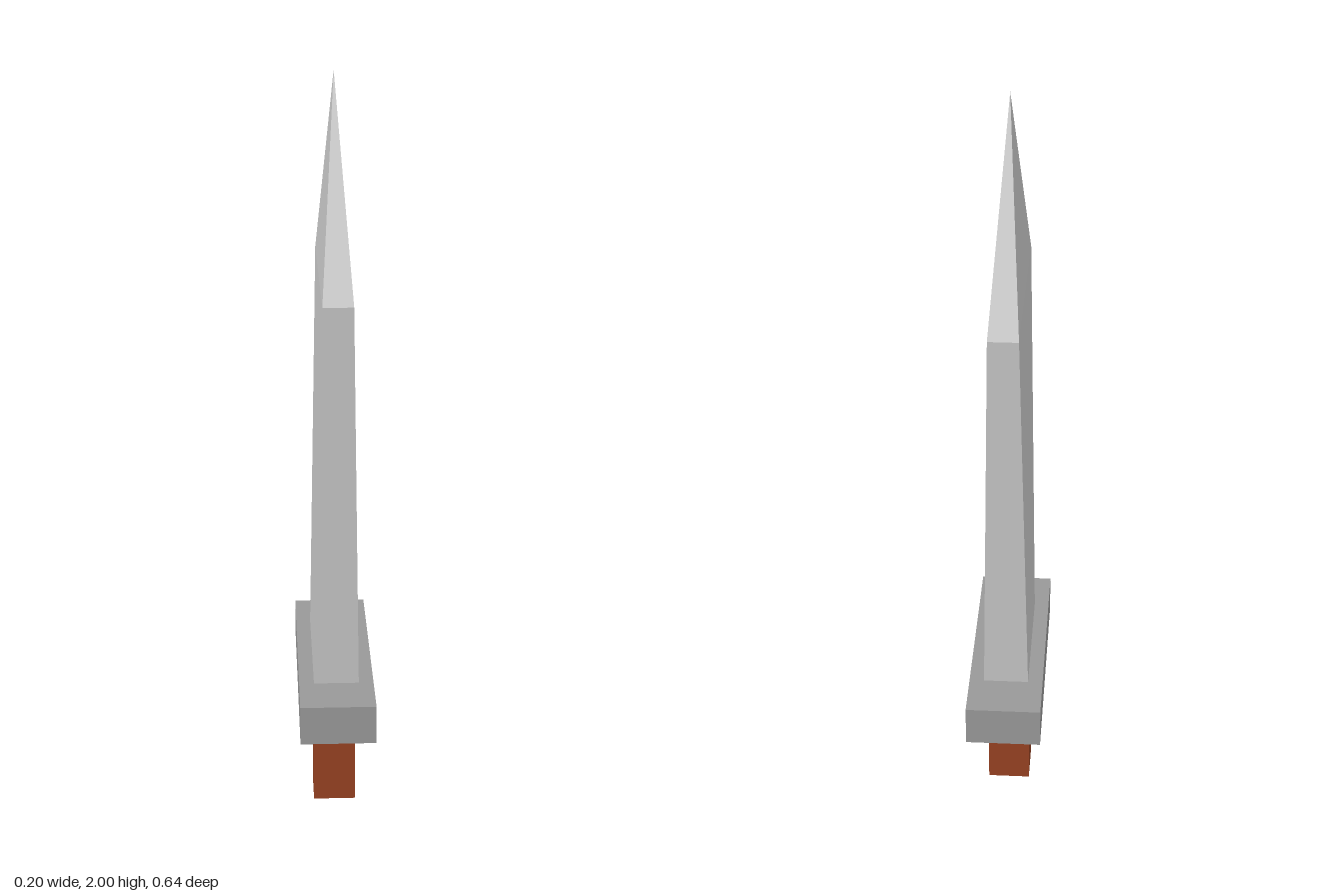
import * as THREE from 'three';

const material = (color) => new THREE.MeshStandardMaterial({ color, flatShading: true });

// Box resting on height y0
function block(name, w, h, d, y0, mat) {
  const mesh = new THREE.Mesh(new THREE.BoxGeometry(w, h, d), mat);
  mesh.position.y = y0 + h / 2;
  mesh.name = name;
  return mesh;
}

// Tapered four-sided solid: rectangular sections [y, halfX, halfZ], closed by a pointed tip
function bladeGeometry(sections, tipY) {
  const corners = [[1, 1], [1, -1], [-1, -1], [-1, 1]];
  const positions = [];
  const index = [];
  for (const [y, hx, hz] of sections) {
    for (const [sx, sz] of corners) positions.push(sx * hx, y, sz * hz);
  }
  const tip = positions.length / 3;
  positions.push(0, tipY, 0);
  const last = sections.length - 1;
  for (let i = 0; i < 4; i++) {
    const j = (i + 1) % 4;
    for (let s = 0; s < last; s++) {
      const a = s * 4 + i, b = s * 4 + j;
      index.push(a, b, b + 4, a, b + 4, a + 4);
    }
    index.push(last * 4 + i, last * 4 + j, tip);
  }
  index.push(0, 3, 2, 0, 2, 1); // base cap
  const geometry = new THREE.BufferGeometry();
  geometry.setAttribute('position', new THREE.Float32BufferAttribute(positions, 3));
  geometry.setIndex(index);
  const flat = geometry.toNonIndexed();
  flat.computeVertexNormals();
  return flat;
}

export function createModel() {
  const group = new THREE.Group();
  group.name = 'dagger';

  // Wooden grip and crossguard
  group.add(block('handle', 0.113, 0.323, 0.113, 0, material(0x964222)));
  group.add(block('guard', 0.196, 0.106, 0.638, 0.323, material(0x999999)));

  // Blade widens toward the shoulder while thinning, then runs to a point
  const blade = new THREE.Mesh(
    bladeGeometry([[0.429, 0.059, 0.187], [1.485, 0.038, 0.286]], 2),
    material(0xcccccc)
  );
  blade.name = 'blade';
  group.add(blade);

  return group;
}
